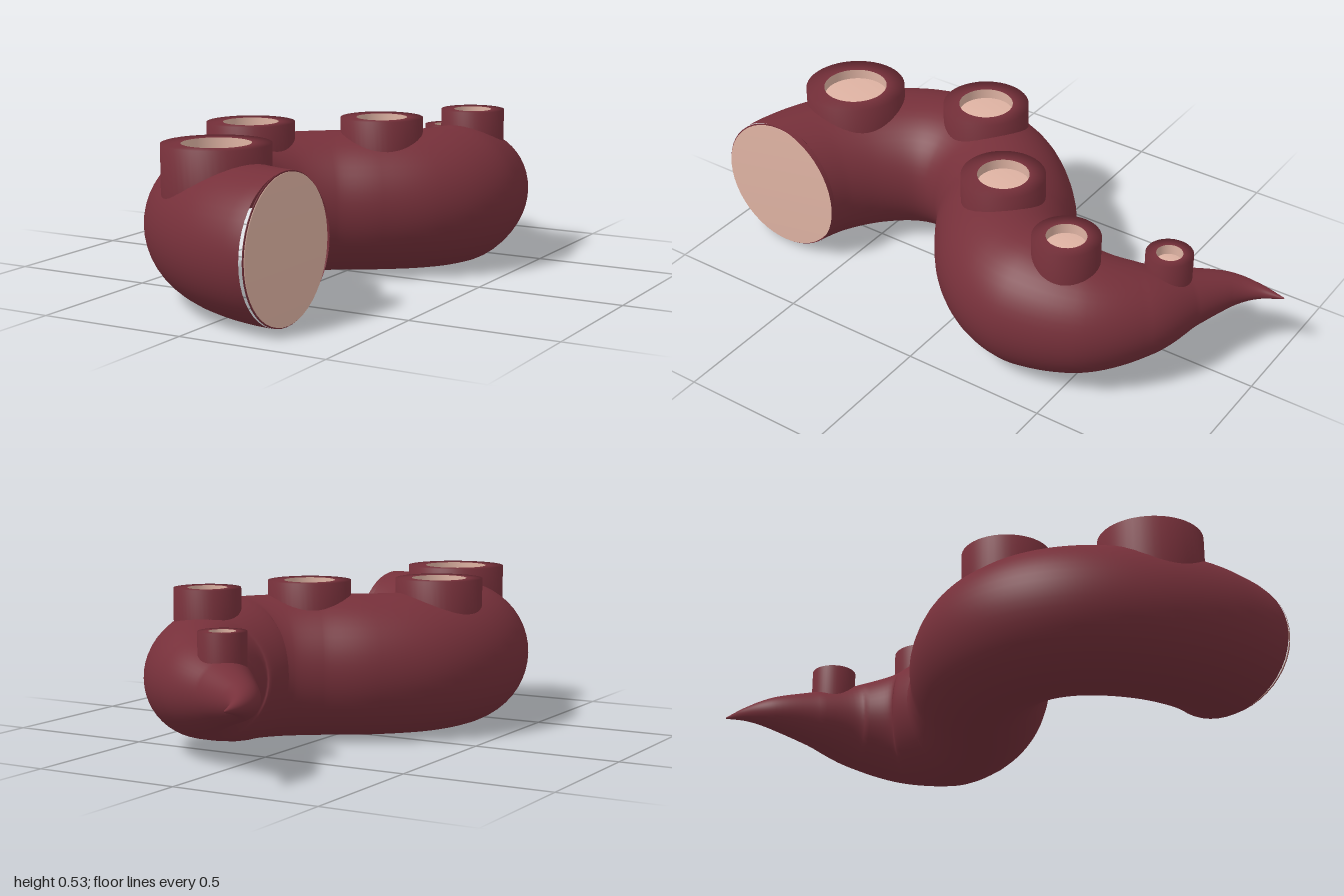
import * as THREE from 'three';
import { ParametricGeometry } from 'three/addons/geometries/ParametricGeometry.js';

const skin = new THREE.MeshStandardMaterial({ color: 0x76303a });
skin.name = 'maroon skin';
const flesh = new THREE.MeshStandardMaterial({ color: 0xdfb3a3 });
flesh.name = 'pale flesh';

const MID = 0.24; // height of the centreline

// Centreline stations: x, z, radius
const stations = [
  [0.225, 0.758, 0.239], [0.19, 0.755, 0.239], [0.06, 0.715, 0.239], [-0.08, 0.625, 0.239],
  [-0.19, 0.5, 0.239], [-0.238, 0.39, 0.239], [-0.245, 0.27, 0.239], [-0.2, 0.14, 0.239],
  [-0.08, 0.01, 0.239], [0.06, -0.08, 0.239], [0.17, -0.17, 0.239], [0.23, -0.26, 0.239],
  [0.244, -0.34, 0.238], [0.225, -0.5, 0.205], [0.125, -0.64, 0.155], [-0.015, -0.735, 0.1],
  [-0.13, -0.83, 0.058], [-0.172, -0.91, 0.027], [-0.185, -1, 0.002],
];

// The radius travels along the spline in the y component
const spline = new THREE.CatmullRomCurve3(stations.map(([x, z, r]) => new THREE.Vector3(x, r, z)));

function bodyPoint(u, v, target) {
  const p = spline.getPoint(u);
  const t = spline.getTangent(u).setY(0).normalize();
  const r = Math.min(p.y, MID);
  const a = v * Math.PI * 2;
  const side = r * Math.cos(a);
  target.set(p.x - t.z * side, MID + r * Math.sin(a), p.z + t.x * side);
}

function mesh(name, geometry, material) {
  const m = new THREE.Mesh(geometry, material);
  m.name = name;
  return m;
}

// Revolved profile of [radius, height] pairs
const lathe = (profile) =>
  new THREE.LatheGeometry(profile.map(([r, y]) => new THREE.Vector2(r, y)), 48);

// Softly shaded disc with its top at y = 0
const disc = (r, thickness) => lathe([[r, -thickness], [r, 0], [0, 0]]);

function sucker(x, z, outer, inner, top) {
  const g = new THREE.Group();
  g.name = 'sucker';
  const depth = 0.035;
  g.add(mesh('suckerRim', lathe([[outer, -0.18], [outer, 0], [inner, 0]]), skin));
  g.add(mesh('suckerWall', lathe([[inner, 0], [inner, -depth]]), flesh));
  const floor = mesh('suckerFloor', disc(inner, 0.008), flesh);
  floor.position.y = -depth;
  g.add(floor);
  g.position.set(x, top, z);
  return g;
}

export function createModel() {
  const model = new THREE.Group();
  model.name = 'tentacle';

  // Curling, tapering arm
  model.add(mesh('arm', new ParametricGeometry(bodyPoint, 140, 48), skin));

  // Cut end: skin backing with a pale face on top
  const backing = mesh('cutBacking', disc(0.238, 0.004), skin);
  backing.rotation.z = -Math.PI / 2;
  backing.position.set(0.2235, MID, 0.758);
  const face = mesh('cutFace', disc(0.234, 0.007), flesh);
  face.rotation.z = -Math.PI / 2;
  face.position.set(0.228, MID, 0.758);
  model.add(backing, face);

  // Row of suckers: x, z, outer radius, inner radius, top height
  const suckers = [
    [-0.088, 0.66, 0.173, 0.11, 0.525],
    [-0.25, 0.212, 0.148, 0.093, 0.525],
    [0.085, -0.088, 0.14, 0.086, 0.527],
    [0.257, -0.442, 0.11, 0.065, 0.525],
    [0.032, -0.688, 0.077, 0.043, 0.425],
  ];
  for (const s of suckers) model.add(sucker(...s));

  return model;
}
